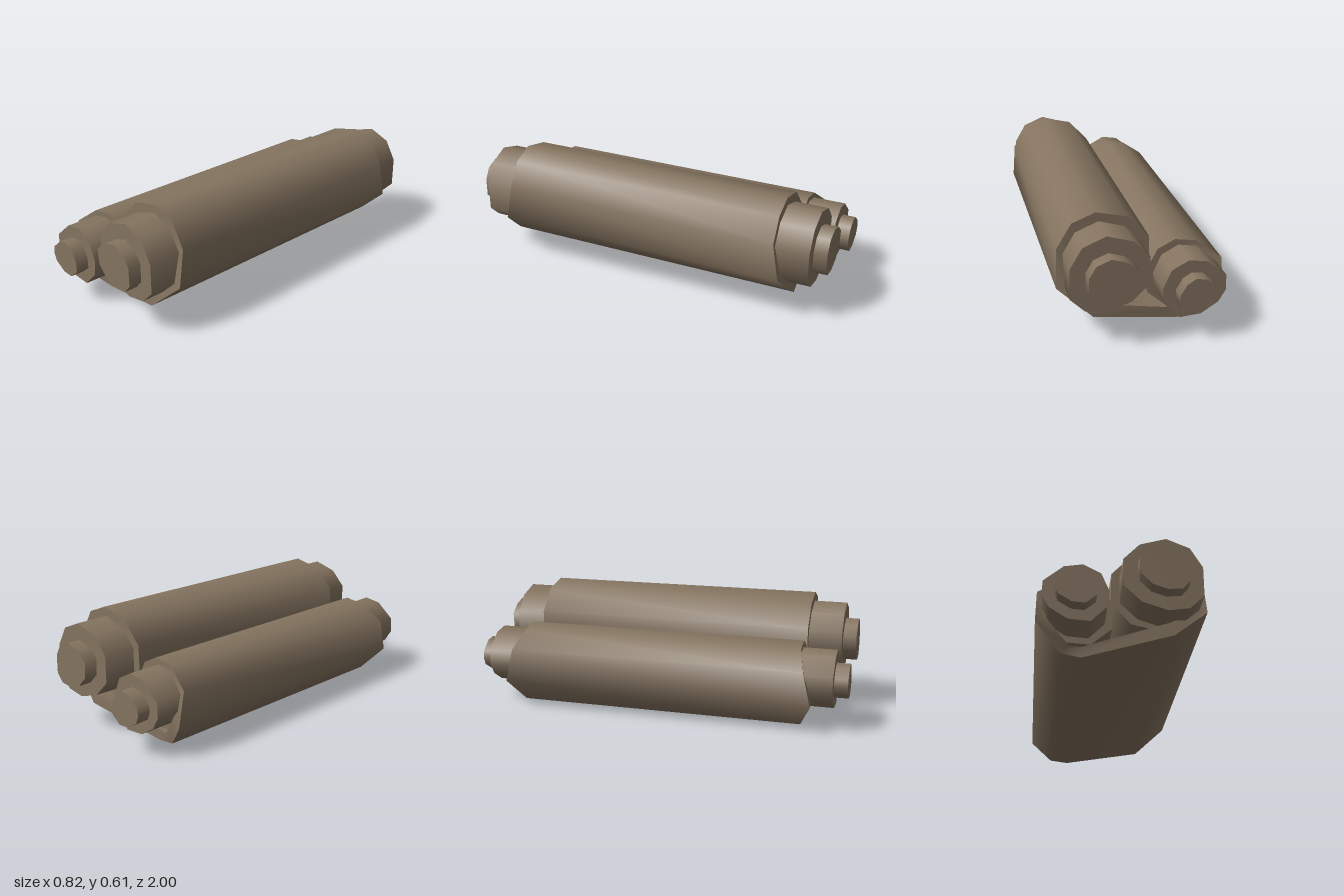
import * as THREE from 'three';
import { toCreasedNormals } from 'three/addons/utils/BufferGeometryUtils.js';

const CREASE = 1.1;

// Solid roll: an irregular outline extruded along z, centred
function roll(name, points, halfLength, material) {
  const shape = new THREE.Shape(points.map(([x, y]) => new THREE.Vector2(x, y)));
  const geo = new THREE.ExtrudeGeometry(shape, { depth: halfLength * 2, bevelEnabled: false });
  geo.translate(0, 0, -halfLength);
  const mesh = new THREE.Mesh(toCreasedNormals(geo, CREASE), material);
  mesh.name = name;
  return mesh;
}

// Thick sheet: each station is [outerX, outerY, innerX, innerY, halfWidth]
function sheet(name, stations, material) {
  const pos = [];
  const index = [];
  for (const [ox, oy, ix, iy, w] of stations) {
    pos.push(ox, oy, w, ox, oy, -w, ix, iy, -w, ix, iy, w);
  }
  const quad = (a, b, c, d) => index.push(a, b, c, a, c, d);
  const last = stations.length - 1;
  for (let i = 0; i < last; i++) {
    for (let k = 0; k < 4; k++) {
      const n = (k + 1) % 4;
      quad(i * 4 + k, i * 4 + 4 + k, i * 4 + 4 + n, i * 4 + n);
    }
  }
  quad(0, 1, 2, 3);
  quad(last * 4 + 3, last * 4 + 2, last * 4 + 1, last * 4);
  const geo = new THREE.BufferGeometry();
  geo.setAttribute('position', new THREE.Float32BufferAttribute(pos, 3));
  geo.setIndex(index);
  const mesh = new THREE.Mesh(toCreasedNormals(geo, CREASE), material);
  mesh.name = name;
  return mesh;
}

export function createModel() {
  const group = new THREE.Group();
  group.name = 'rolledScroll';
  const hide = new THREE.MeshStandardMaterial({ color: 0x857460 });
  hide.name = 'brownParchment';

  // Outer turn: around the large roll, along the ground, around the small roll
  const W = 0.755;
  group.add(sheet('outerSheet', [
    [0.215, 0.15, 0.2, 0.176, W],
    [0.045, 0.186, 0.075, 0.215, W],
    [-0.053, 0.295, -0.01, 0.3, W],
    [-0.05, 0.46, -0.009, 0.44, W],
    [0.055, 0.572, 0.07, 0.524, W],
    [0.21, 0.608, 0.197, 0.562, W],
    [0.327, 0.561, 0.31, 0.515, W],
    [0.4, 0.438, 0.37, 0.412, W],
    [0.41, 0.248, 0.37, 0.258, 0.79],
    [0.24, 0.098, 0.22, 0.163, 0.83],
    [-0.195, 0.0, -0.195, 0.055, W],
    [-0.295, 0.016, -0.25, 0.055, 0.765],
    [-0.413, 0.147, -0.36, 0.165, 0.825],
    [-0.409, 0.325, -0.384, 0.303, 0.785],
    [-0.288, 0.414, -0.288, 0.385, W],
    [-0.18, 0.431, -0.197, 0.4, W],
    [-0.094, 0.387, -0.113, 0.355, W],
    [-0.046, 0.295, -0.073, 0.262, W],
    [-0.048, 0.157, -0.083, 0.18, W],
    [-0.148, 0.07, -0.16, 0.102, W],
    [-0.268, 0.077, -0.265, 0.11, W],
    [-0.36, 0.165, -0.345, 0.172, W],
  ], hide));

  // Inner turns, protruding past the outer sheet
  group.add(roll('largeInnerRoll', [
    [-0.01, 0.3], [0.075, 0.215], [0.2, 0.174], [0.3, 0.19], [0.37, 0.258],
    [0.37, 0.412], [0.31, 0.515], [0.197, 0.562], [0.07, 0.524], [-0.009, 0.44],
  ], 0.93, hide));
  group.add(roll('smallInnerRoll', [
    [-0.386, 0.225], [-0.35, 0.165], [-0.265, 0.11], [-0.16, 0.102], [-0.083, 0.18],
    [-0.073, 0.262], [-0.113, 0.355], [-0.197, 0.4], [-0.288, 0.385], [-0.384, 0.303],
  ], 0.93, hide));

  // Cores, the longest parts
  group.add(roll('largeCore', [
    [0.066, 0.325], [0.12, 0.27], [0.19, 0.246], [0.26, 0.253], [0.296, 0.295],
    [0.295, 0.39], [0.26, 0.45], [0.19, 0.478], [0.115, 0.455], [0.06, 0.408],
  ], 1, hide));
  group.add(roll('smallCore', [
    [-0.33, 0.243], [-0.313, 0.2], [-0.25, 0.162], [-0.19, 0.157], [-0.136, 0.2],
    [-0.137, 0.255], [-0.17, 0.31], [-0.212, 0.336], [-0.265, 0.328], [-0.322, 0.28],
  ], 1, hide));

  return group;
}
